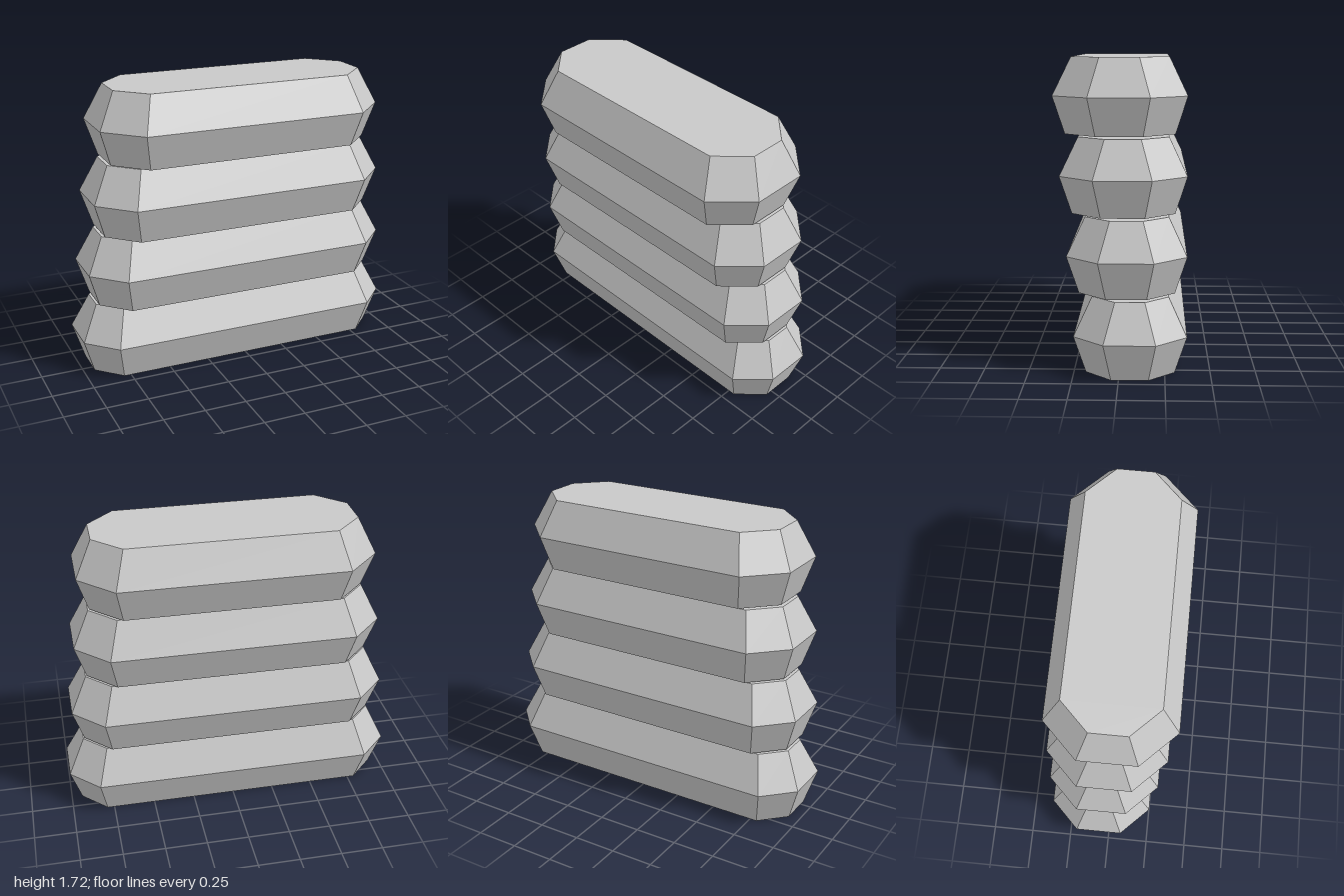
import * as THREE from 'three';

const TIERS = 4;
const STEP = 0.4335; // tier height plus the narrow gap above it
const BACK = -0.37;

// Octagonal outline: a rectangle with 45 degree cut corners, counter-clockwise from above
function ring(y, halfX, back, front, cut) {
  const x = halfX - cut;
  return [
    [-x, y, front], [x, y, front],
    [halfX, y, front - cut], [halfX, y, back + cut],
    [x, y, back], [-x, y, back],
    [-halfX, y, back + cut], [-halfX, y, front - cut],
  ];
}

// Closed solid with flat faces through a stack of rings
function loft(rings) {
  const pos = [];
  const tri = (a, b, c) => pos.push(...a, ...b, ...c);
  const n = rings[0].length;
  for (let r = 0; r < rings.length - 1; r++) {
    const lo = rings[r], hi = rings[r + 1];
    for (let i = 0; i < n; i++) {
      const j = (i + 1) % n;
      tri(lo[i], lo[j], hi[j]);
      tri(lo[i], hi[j], hi[i]);
    }
  }
  const bottom = rings[0], top = rings[rings.length - 1];
  for (let i = 1; i < n - 1; i++) {
    tri(bottom[0], bottom[i + 1], bottom[i]);
    tri(top[0], top[i], top[i + 1]);
  }
  const geo = new THREE.BufferGeometry();
  geo.setAttribute('position', new THREE.Float32BufferAttribute(pos, 3));
  geo.computeVertexNormals();
  return geo;
}

export function createModel() {
  const group = new THREE.Group();
  group.name = 'tieredStack';
  const stone = new THREE.MeshStandardMaterial({ color: 0xc8c8c8, flatShading: true });
  stone.name = 'light grey';

  // Tiers share one back plane, and get narrower and deeper going up
  for (let i = 0; i < TIERS; i++) {
    const y = i * STEP;
    const halfX = 1 - i * 0.0427;
    const front = 0.25 + i * 0.04;
    const cut = 0.17 + i * 0.011;
    const tier = new THREE.Mesh(loft([
      ring(y, halfX - 0.065, BACK + 0.066, front - 0.066, cut - 0.027),
      ring(y + 0.21, halfX, BACK, front, cut),
      ring(y + 0.421, halfX - 0.1, BACK + 0.1, front - 0.1, cut - 0.0405),
    ]), stone);
    tier.name = `tier${i + 1}`;
    group.add(tier);
  }
  return group;
}
